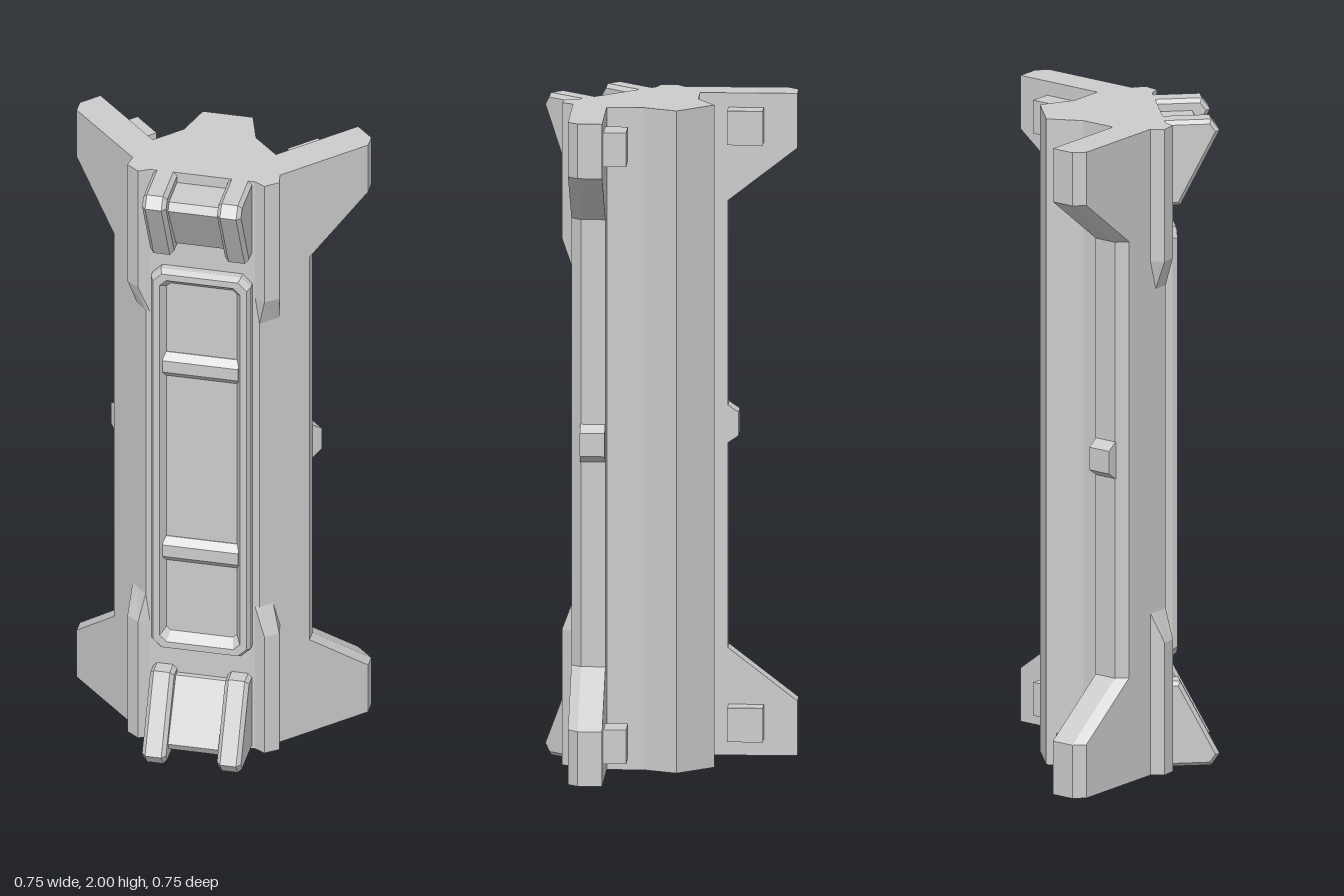
import * as THREE from 'three';

const mat = new THREE.MeshStandardMaterial({ color: 0xcccccc, flatShading: true });

function add(parent, name, geo) {
  const m = new THREE.Mesh(geo, mat);
  m.name = name;
  parent.add(m);
  return m;
}

// Skin a series of rings; each ring runs clockwise seen from the next one
function loft(rings, capTriangles = []) {
  const pos = [];
  const tri = (...vs) => vs.forEach(v => pos.push(...v));
  const n = rings[0].length;
  for (let r = 0; r + 1 < rings.length; r++) {
    for (let i = 0; i < n; i++) {
      const j = (i + 1) % n;
      const a = rings[r][i], b = rings[r][j], c = rings[r + 1][j], d = rings[r + 1][i];
      tri(a, d, c);
      tri(a, c, b);
    }
  }
  const top = rings[rings.length - 1];
  for (const [a, b, c] of capTriangles) {
    tri(rings[0][a], rings[0][c], rings[0][b]);
    tri(top[a], top[b], top[c]);
  }
  const g = new THREE.BufferGeometry();
  g.setAttribute('position', new THREE.Float32BufferAttribute(pos, 3));
  g.computeVertexNormals();
  return g;
}

// Plan of the post, symmetric about its diagonal; arm = wing reach, rib = rib height
function section(y, arm, rib) {
  const half = [
    [0.138, -0.03], [0.085, 0.07], [0.085, 0.18], [arm, 0.18], [arm, 0.253],
    [arm - 0.03, 0.283], [0.035, 0.283], [0.01, 0.283 + rib],
    [-0.038, 0.283 + rib * 0.8], [-0.048, 0.275],
  ];
  const other = half.map(([x, z]) => [-z, -x]).reverse();
  return [...half, ...other].map(([x, z]) => [x, y, z]);
}

function bodyGeometry() {
  const W = 0.375, N = 0.168, R = 0.034;
  const lower = [
    [0, W, R], [0.165, W, R], [0.325, N, R], [0.41, N, R], [0.5, N, 0],
  ];
  const upper = lower.map(([y, a, r]) => [2 - y, a, r]).reverse();
  const rings = [...lower, ...upper].map(p => section(...p));
  const plan = rings[0].map(([x, , z]) => new THREE.Vector2(x, z));
  // Wind every cap triangle so that it faces up
  const caps = THREE.ShapeUtils.triangulateShape(plan, []).map(([a, b, c]) => {
    const area = THREE.ShapeUtils.area([plan[a], plan[b], plan[c]]);
    return area > 0 ? [a, c, b] : [a, b, c];
  });
  return loft(rings, caps);
}

// Chamfered rectangle ring facing +z, clockwise from the front
function panelRing(w, h, z, c) {
  return [
    [-w, h - c], [-w + c, h], [w - c, h], [w, h - c],
    [w, -h + c], [w - c, -h], [-w + c, -h], [-w, -h + c],
  ].map(([x, y]) => [x, y, z]);
}

// Side profile in (outward, height), spread over a width, optionally bevelled
function prism(profile, width, bevel = 0) {
  const g = new THREE.ExtrudeGeometry(
    new THREE.Shape(profile.map(p => new THREE.Vector2(...p))),
    {
      depth: width - 2 * bevel, bevelEnabled: bevel > 0, bevelSegments: 1,
      bevelSize: bevel, bevelThickness: bevel, bevelOffset: -bevel,
    });
  g.translate(0, 0, bevel - width / 2);
  return g.rotateY(-Math.PI / 2);
}

export function createModel() {
  const model = new THREE.Group();
  model.name = 'cornerPost';
  add(model, 'postBody', bodyGeometry());

  // Pegs behind both wings, top and bottom
  for (const y of [0.1025, 1.905]) {
    const long = 0.106, deep = 0.075, x = 0.222, z = 0.1505;
    add(model, 'peg', new THREE.BoxGeometry(long, 0.103, deep)).position.set(x, y, z);
    add(model, 'peg', new THREE.BoxGeometry(deep, 0.103, long)).position.set(-z, y, -x);
  }

  // Small nub at mid height on each wing edge
  const nub = new THREE.Shape([[0.15, 0.943], [0.168, 0.943], [0.2, 0.965],
    [0.2, 1.035], [0.168, 1.057], [0.15, 1.057]].map(p => new THREE.Vector2(...p)));
  const nubGeo = () => new THREE.ExtrudeGeometry(nub, { depth: 0.074, bevelEnabled: false });
  add(model, 'edgeNub', nubGeo().translate(0, 0, 0.181));
  add(model, 'edgeNub', nubGeo().translate(0, 0, -0.255).rotateY(Math.PI / 2));

  // Diagonal face: local +z points outward, local x runs across
  const face = new THREE.Group();
  face.name = 'diagonalFace';
  face.rotation.y = -Math.PI / 4;
  model.add(face);

  // Raised panel frame with a recessed floor
  add(face, 'panelFrame', loft([
    panelRing(0.152, 0.668, 0.21, 0.03),
    panelRing(0.152, 0.668, 0.25, 0.03),
    panelRing(0.143, 0.658, 0.267, 0.027),
    panelRing(0.122, 0.637, 0.267, 0.02),
    panelRing(0.107, 0.612, 0.238, 0.012),
    panelRing(0, 0, 0.238, 0),
  ])).position.y = 1.0025;

  // Cross bars in the recess
  for (const y of [0.68, 1.33]) {
    add(face, 'crossBar', prism([[0.23, -0.042], [0.24, -0.042], [0.259, -0.02],
      [0.259, 0.02], [0.24, 0.042], [0.23, 0.042]], 0.23)).position.y = y;
  }

  // Flared brackets at both ends: two fins with a plate between
  const fin = [[0.15, 2], [0.368, 2], [0.393, 1.965], [0.275, 1.737], [0.15, 1.737]];
  const plate = [[0.15, 1.965], [0.338, 1.965], [0.352, 1.94], [0.245, 1.762], [0.15, 1.762]];
  for (const flip of [false, true]) {
    const place = pts => pts.map(([d, y]) => [d, flip ? 2 - y : y]);
    add(face, 'bracketPlate', prism(place(plate), 0.17));
    for (const side of [-1, 1]) {
      add(face, 'bracketFin', prism(place(fin), 0.073, 0.012)).position.x = side * 0.114;
    }
  }
  return model;
}
